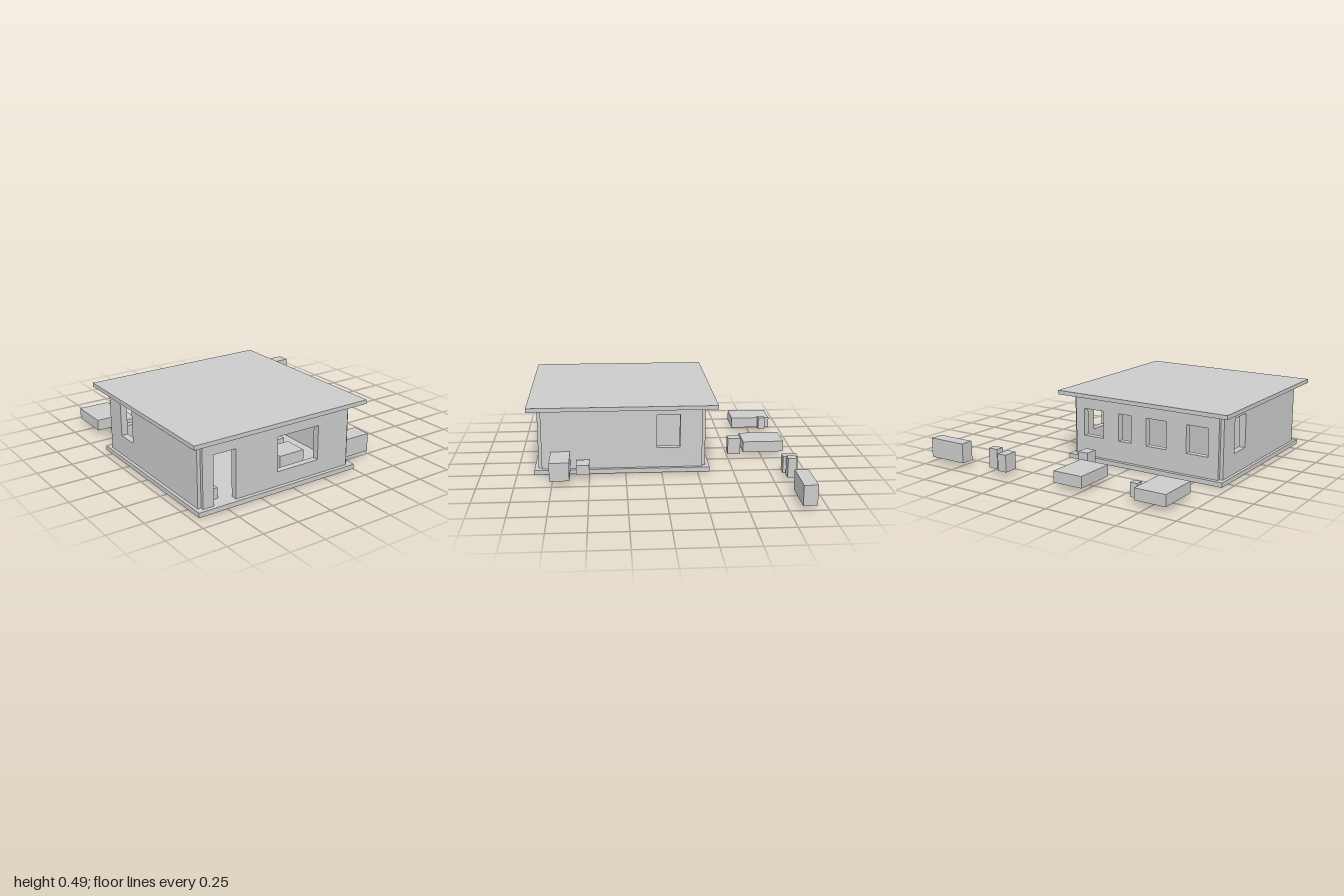
import * as THREE from 'three';

const material = new THREE.MeshStandardMaterial({ color: 0xcccccc });
const FLOOR = 0.032, CEILING = 0.462, THICK = 0.046;

export function createModel() {
  const house = new THREE.Group();
  house.name = 'house';

  const add = (name, geometry) => {
    const mesh = new THREE.Mesh(geometry, material);
    mesh.name = name;
    house.add(mesh);
    return mesh;
  };

  // Box given by its extents
  const block = (name, x0, x1, y0, y1, z0, z1) =>
    add(name, new THREE.BoxGeometry(x1 - x0, y1 - y0, z1 - z0))
      .position.set((x0 + x1) / 2, (y0 + y1) / 2, (z0 + z1) / 2);

  // Upright wall from a to b; doors [from, to, top] notch the outline,
  // windows [from, to, bottom, top] are holes
  const wall = (name, alongX, a, b, offset, { doors = [], windows = [] } = {}) => {
    const shape = new THREE.Shape();
    shape.moveTo(a, FLOOR);
    for (const [d0, d1, top] of doors) {
      shape.lineTo(d0, FLOOR);
      shape.lineTo(d0, top);
      shape.lineTo(d1, top);
      shape.lineTo(d1, FLOOR);
    }
    shape.lineTo(b, FLOOR);
    shape.lineTo(b, CEILING);
    shape.lineTo(a, CEILING);
    for (const [w0, w1, y0, y1] of windows) {
      const hole = new THREE.Path();
      hole.moveTo(w0, y0);
      hole.lineTo(w0, y1);
      hole.lineTo(w1, y1);
      hole.lineTo(w1, y0);
      hole.closePath();
      shape.holes.push(hole);
    }
    const geometry = new THREE.ExtrudeGeometry(shape, { depth: THICK, bevelEnabled: false });
    geometry.translate(0, 0, -THICK / 2);
    if (!alongX) geometry.rotateY(-Math.PI / 2);
    const mesh = add(name, geometry);
    if (alongX) mesh.position.z = offset;
    else mesh.position.x = offset;
  };

  // Slabs
  block('floorSlab', -0.952, 0.256, 0, FLOOR, -0.335, 0.88);
  block('roofSlab', -1, 0.305, CEILING, 0.49, -0.385, 0.92);

  // Outer walls meet on their centre lines, leaving notched corners
  const left = 0.208, right = -0.907, front = 0.83, back = -0.284;
  wall('frontWall', true, right, left, front, {
    doors: [[-0.83, -0.67, 0.367]],
    windows: [[-0.355, -0.035, 0.13, 0.367]],
  });
  wall('backWall', true, right, left, back, {
    windows: [[-0.83, -0.67], [-0.52, -0.365], [-0.247, -0.145], [-0.02, 0.14]]
      .map(([x0, x1]) => [x0, x1, 0.175, 0.367]),
  });
  for (const [name, x] of [['leftWall', left], ['rightWall', right]]) {
    wall(name, false, back, front, x, { windows: [[-0.13, 0.03, 0.173, 0.408]] });
  }

  // Inner partitions
  wall('hallPartition', true, right, left, 0.2, { doors: [[-0.26, -0.195, 0.39]] });
  for (const x of [-0.6, -0.31, -0.09]) wall('roomPartition', false, back, 0.2, x);

  // Furniture inside
  block('bench', -0.88, -0.755, FLOOR, 0.105, 0.5, 0.78);
  block('wardrobe', -0.88, -0.8, FLOOR, 0.305, 0.24, 0.4);
  block('table', -0.235, -0.045, FLOOR, 0.155, 0.55, 0.72);
  for (const x of [-0.23, -0.12]) block('chair', x, x + 0.068, FLOOR, 0.17, 0.44, 0.52);

  // Beds and stands behind the house
  block('bed', -0.877, -0.655, FLOOR, 0.11, -0.91, -0.615);
  block('bedsideStand', -0.655, -0.6, FLOOR, 0.125, -0.87, -0.82);
  block('bed', -0.267, -0.05, FLOOR, 0.11, -0.91, -0.615);
  block('stand', -0.085, -0.01, FLOOR, 0.15, -0.588, -0.497);
  block('basin', 0.337, 0.406, FLOOR, 0.15, -0.92, -0.82);
  block('stool', 0.432, 0.502, FLOOR, 0.168, -0.895, -0.835);
  block('counter', 0.715, 1, FLOOR, 0.168, -0.925, -0.833);

  // Seat and low stand beside the left wall
  block('sofa', 0.24, 0.476, FLOOR, 0.16, 0.632, 0.766);
  block('lowStand', 0.245, 0.365, FLOOR, 0.1, 0.5, 0.59);

  return house;
}
